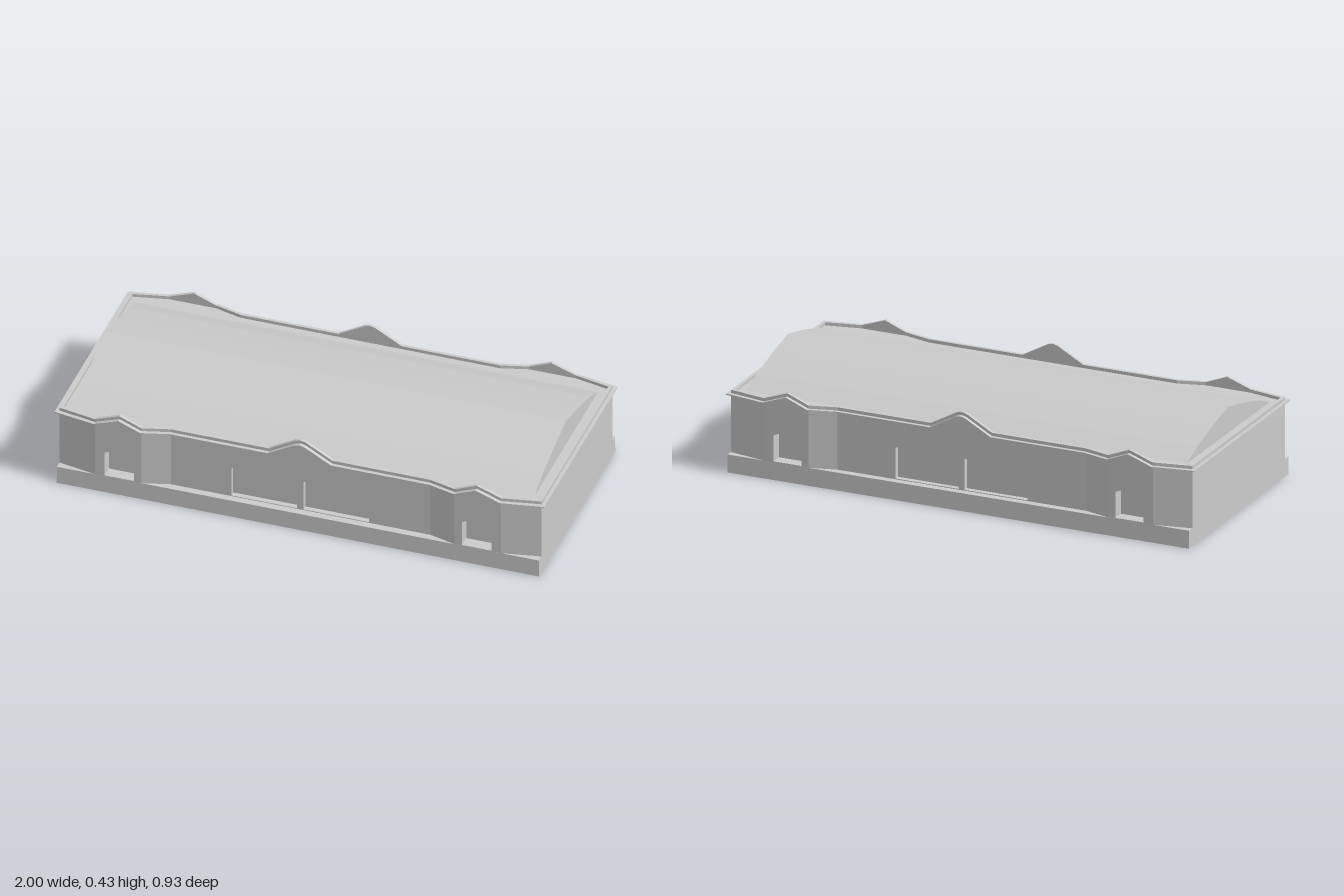
import * as THREE from 'three';

const material = new THREE.MeshStandardMaterial({ color: 0xcccccc, flatShading: true, side: THREE.DoubleSide });
const HALF = 0.985, PLINTH_TOP = 0.073, CORNICE = 0.312;

// Piecewise-linear lookup, symmetric in x
function lookup(table, x) {
  const a = Math.abs(x);
  for (let i = 1; i < table.length; i++) {
    const [x0, v0] = table[i - 1], [x1, v1] = table[i];
    if (a <= x1) return v0 + (v1 - v0) * (a - x0) / (x1 - x0);
  }
  return table[table.length - 1][1];
}
// Wall plan (x, z) and parapet rise (x, height)
const plan = x => lookup([[0, 0.42], [0.53, 0.42], [0.64, 0.45], [0.83, 0.45], [HALF, 0.42]], x);
const crest = x => lookup([[0, 0.066], [0.02, 0.061], [0.13, 0], [0.64, 0], [0.73, 0.036], [0.83, 0], [HALF, 0]], x);
const half = [0.02, 0.13, 0.53, 0.64, 0.73, 0.83, HALF];
const stations = [...half.map(x => -x).reverse(), 0, ...half];

function mesh(name, geometry) {
  const m = new THREE.Mesh(geometry, material);
  m.name = name;
  return m;
}

// Surface through rows of [x, y, z] points
function loft(name, rows) {
  const pos = [];
  for (let j = 0; j + 1 < rows.length; j++) {
    for (let i = 0; i + 1 < rows[j].length; i++) {
      const a = rows[j][i], b = rows[j][i + 1], c = rows[j + 1][i + 1], d = rows[j + 1][i];
      pos.push(...a, ...b, ...c, ...a, ...c, ...d);
    }
  }
  const g = new THREE.BufferGeometry();
  g.setAttribute('position', new THREE.Float32BufferAttribute(pos, 3));
  g.computeVertexNormals();
  return mesh(name, g);
}

// Closed loop round the building: offset from the wall, or a plain rectangle when z is given
function ring({ out = 0, y, rise = false, x: endX = HALF + out, z }) {
  const front = stations.map(x => [
    Math.abs(x) === HALF ? Math.sign(x) * endX : x,
    y + (rise ? crest(x) : 0),
    z ?? plan(x) + out,
  ]);
  const back = front.map(([x, py, pz]) => [-x, py, -pz]);
  return [...front, ...back, front[0]];
}

const rectangle = (x0, x1, y0, y1) => [[x0, y0], [x1, y0], [x1, y1], [x0, y1]];
const vectors = pts => pts.map(p => new THREE.Vector2(...p));

// Upright wall sheet between two x positions, bent to the plan, with openings
function wallPanel(x0, x1, openings = []) {
  const top = stations.filter(x => x >= x0 && x <= x1).reverse().map(x => [x, CORNICE + crest(x)]);
  const shape = new THREE.Shape(vectors([[x0, PLINTH_TOP], [x1, PLINTH_TOP], ...top]));
  openings.forEach(o => shape.holes.push(new THREE.Path(vectors(o))));
  const g = new THREE.ShapeGeometry(shape);
  const p = g.attributes.position;
  for (let i = 0; i < p.count; i++) p.setZ(i, plan(p.getX(i)));
  return mesh('facadeWall', g);
}

// Reveal and back panel behind an opening
function recess(name, outline, z, depth) {
  const group = new THREE.Group();
  group.name = name;
  const loop = [...outline, outline[0]];
  group.add(loft(name + 'Reveal', [loop.map(([x, y]) => [x, y, z]), loop.map(([x, y]) => [x, y, z - depth])]));
  const panel = mesh(name + 'Back', new THREE.ShapeGeometry(new THREE.Shape(vectors(outline))));
  panel.position.z = z - depth;
  group.add(panel);
  return group;
}

// One long side: central doorways and two projecting bays with pointed niches
function createFacade() {
  const facade = new THREE.Group();
  const doors = [rectangle(-0.283, -0.014, 0.076, 0.205), rectangle(0.012, 0.28, 0.076, 0.205)];
  facade.add(wallPanel(-0.53, 0.53, doors));
  doors.forEach(d => facade.add(recess('doorway', d, 0.42, 0.022)));
  for (const s of [-1, 1]) {
    const c = s * 0.73;
    const niche = [[c - 0.06, 0.076], [c + 0.06, 0.076], [c + 0.06, 0.183], [c + 0.02, 0.2],
      [c - 0.02, 0.2], [c - 0.06, 0.183]];
    for (const [a, b, holes] of [[0.53, 0.64, []], [0.64, 0.83, [niche]], [0.83, HALF, []]]) {
      facade.add(s > 0 ? wallPanel(a, b, holes) : wallPanel(-b, -a, holes));
    }
    facade.add(recess('niche', niche, 0.45, 0.05));
  }
  return facade;
}

export function createModel() {
  const model = new THREE.Group();
  model.name = 'building';

  // Plinth with a ledge that meets the wall
  model.add(loft('plinth', [
    ring({ y: 0, x: HALF, z: 0.4525 }),
    ring({ y: PLINTH_TOP, x: HALF, z: 0.4502 }),
    ring({ y: PLINTH_TOP }),
  ]));

  // Long facades
  const front = createFacade();
  front.name = 'frontFacade';
  const back = createFacade();
  back.name = 'backFacade';
  back.rotation.y = Math.PI;
  model.add(front, back);

  // Plain end walls
  for (const s of [-1, 1]) {
    const wall = mesh('endWall', new THREE.PlaneGeometry(0.84, CORNICE - PLINTH_TOP));
    wall.rotation.y = s * Math.PI / 2;
    wall.position.set(s * HALF, (CORNICE + PLINTH_TOP) / 2, 0);
    model.add(wall);
  }

  // Stepped cornice following the parapet, then the gutter behind it
  model.add(loft('cornice', [
    ring({ y: CORNICE, rise: true }),
    ring({ out: 0.015, y: CORNICE, rise: true }),
    ring({ out: 0.015, y: 0.317, rise: true }),
    ring({ y: 0.317, rise: true }),
    ring({ y: 0.33, rise: true }),
    ring({ out: -0.013, y: 0.33, rise: true }),
    ring({ out: -0.013, y: 0.317 }),
  ]));
  model.add(loft('gutter', [
    ring({ out: -0.013, y: 0.317 }),
    ring({ y: 0.317, x: 0.94, z: 0.375 }),
  ]));

  // Faceted vaulted roof with closed gables
  const side = [[0.375, 0.317], [0.283, 0.355], [0.137, 0.396]];
  const profile = [...side, [0, 0.425], ...side.map(([z, y]) => [-z, y]).reverse()];
  model.add(loft('roof', profile.map(([z, y]) => [[-0.94, y, z], [0.94, y, z]])));
  for (const s of [-1, 1]) {
    const gable = mesh('gable', new THREE.ShapeGeometry(new THREE.Shape(vectors(profile))));
    gable.rotation.y = s * Math.PI / 2;
    gable.position.x = s * 0.94;
    model.add(gable);
  }
  return model;
}
